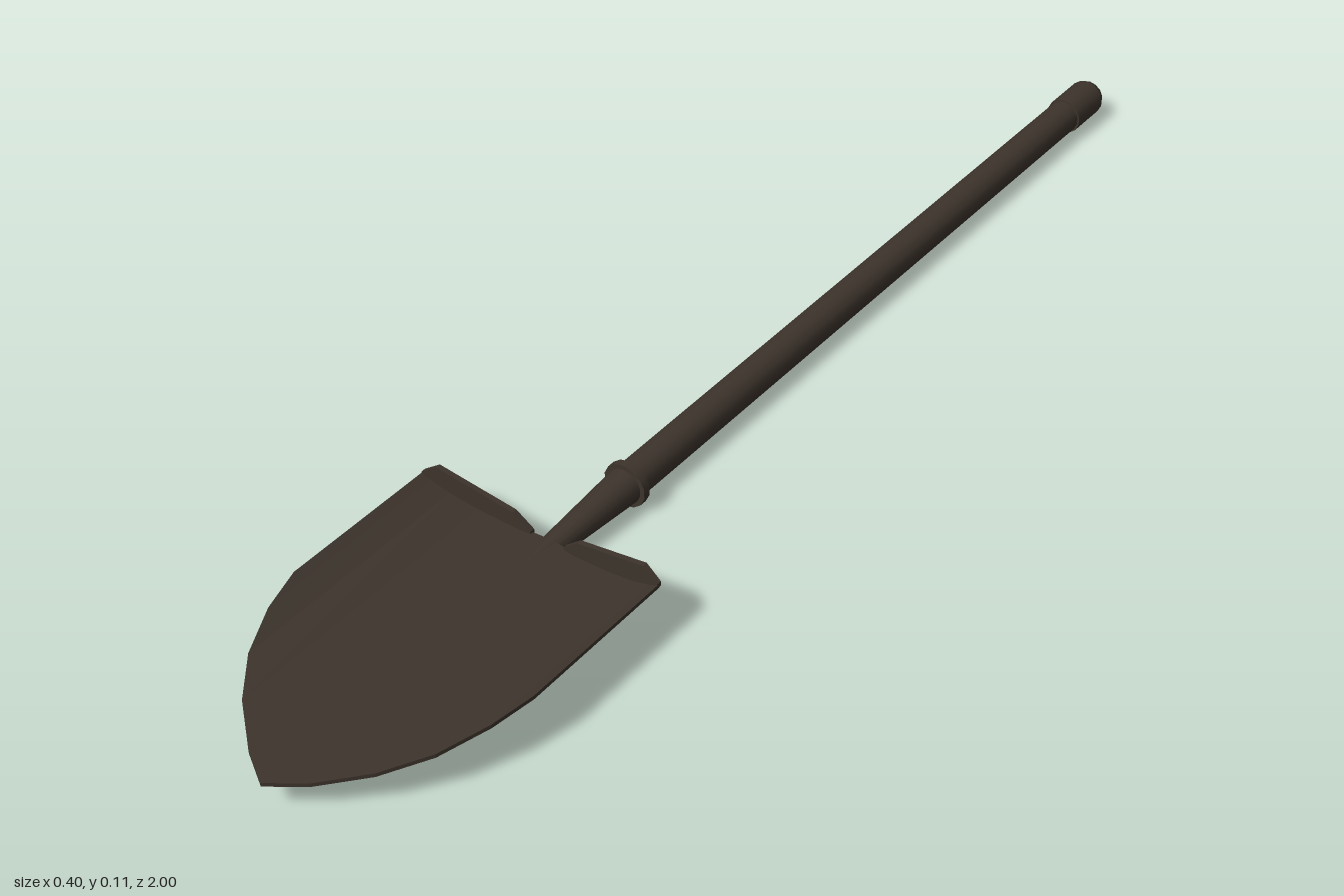
import * as THREE from 'three';

const AXIS_Y = 0.035;
// half-width stations of the blade: x, back z, front z, surface height
const STATIONS = [
  [0, 0.44, 1.0, 0.049], [0.05, 0.446, 0.968, 0.051], [0.11, 0.453, 0.915, 0.06],
  [0.155, 0.458, 0.855, 0.07], [0.185, 0.461, 0.785, 0.081], [0.2, 0.463, 0.72, 0.088],
];
// half of the turned-up tread: x, top height
const TREAD = [[0.028, 0.054], [0.055, 0.077], [0.11, 0.091], [0.175, 0.107], [0.2, 0.09]];

// linear lookup of a station column at a given |x|
function stationAt(x, column) {
  let i = 1;
  while (i < STATIONS.length - 1 && STATIONS[i][0] < x) i++;
  const a = STATIONS[i - 1], b = STATIONS[i];
  return THREE.MathUtils.mapLinear(x, a[0], b[0], a[column], b[column]);
}

// closed solid through four-cornered rings ordered along +x
function loft(rings) {
  const out = [];
  const quad = (a, b, c, d) => out.push(...a, ...b, ...c, ...a, ...c, ...d);
  for (let i = 0; i < rings.length - 1; i++) {
    for (let j = 0; j < 4; j++) {
      const k = (j + 1) % 4;
      quad(rings[i][j], rings[i][k], rings[i + 1][k], rings[i + 1][j]);
    }
  }
  const s = rings[0], e = rings[rings.length - 1];
  quad(s[3], s[2], s[1], s[0]);
  quad(e[0], e[1], e[2], e[3]);
  const g = new THREE.BufferGeometry();
  g.setAttribute('position', new THREE.Float32BufferAttribute(out, 3));
  g.computeVertexNormals();
  return g;
}

// ring with corners: top back, top front, bottom front, bottom back
const ring = (x, top, bottom, back, front) =>
  [[x, top, back], [x, top, front], [x, bottom, front], [x, bottom, back]];

export function createModel() {
  const group = new THREE.Group();
  const brown = new THREE.MeshStandardMaterial({ color: 0x3d342c });
  brown.name = 'darkBrown';

  const add = (name, geometry) => {
    const mesh = new THREE.Mesh(geometry, brown);
    mesh.name = name;
    group.add(mesh);
  };
  // round piece along z from z0 to z1
  const rod = (name, z0, z1, r0, r1) => {
    const g = new THREE.CylinderGeometry(r1, r0, z1 - z0, 14);
    g.rotateX(Math.PI / 2);
    g.translate(0, AXIS_Y, (z0 + z1) / 2);
    add(name, g);
  };

  // handle with bevelled grip end
  rod('handle', -0.93, 0.27, 0.027, 0.027);
  rod('gripEnd', -0.99, -0.915, 0.03, 0.03);
  rod('gripBevel', -1, -0.99, 0.025, 0.03);

  // collar and tapered socket
  rod('collar', 0.267, 0.279, 0.035, 0.035);
  rod('socket', 0.275, 0.575, 0.028, 0.009);

  // dished blade
  const half = STATIONS.slice(1);
  const columns = [...half.map(([x, ...r]) => [-x, ...r]).reverse(), ...STATIONS];
  add('blade', loft(columns.map(([x, back, front, y]) => ring(x, y, y - 0.006, back, front))));

  // foot treads along the back edge
  for (const side of [-1, 1]) {
    const rings = TREAD.map(([x, top]) => {
      const back = stationAt(x, 1);
      return ring(side * x, top, stationAt(x, 3) - 0.005, back - 0.003, back + 0.005);
    });
    if (side < 0) rings.reverse();
    add(side > 0 ? 'leftTread' : 'rightTread', loft(rings));
  }
  return group;
}
